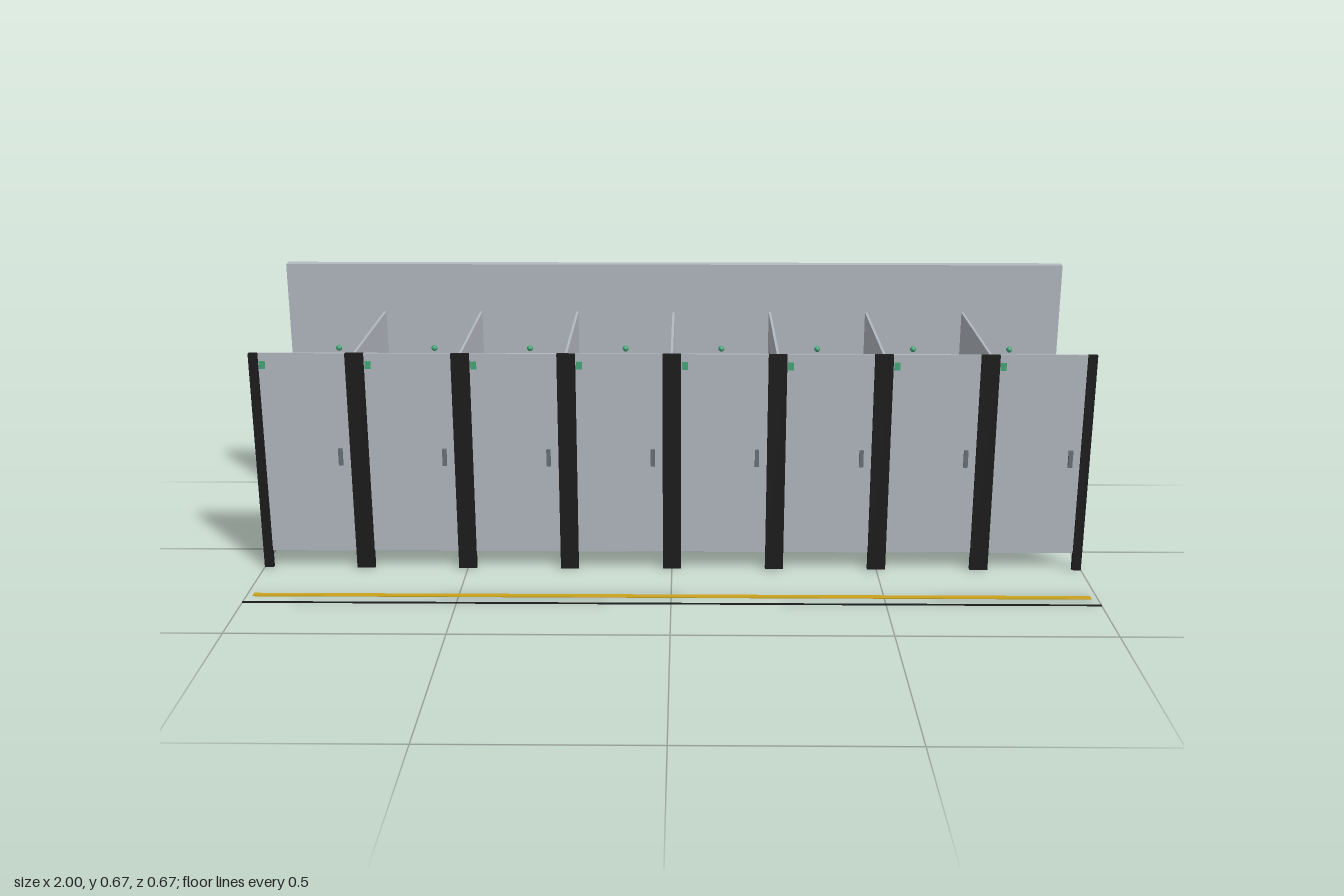
import * as THREE from 'three';

const mat = (name, color) => {
  const m = new THREE.MeshStandardMaterial({ color });
  m.name = name;
  return m;
};

// Rounded rectangle outline, with plan y pointing to the front (+z)
function roundedOutline(w, d, rFront, rBack) {
  const s = new THREE.Shape(), x = w / 2, y = d / 2;
  s.moveTo(-x + rFront, -y);
  s.lineTo(x - rFront, -y);
  s.absarc(x - rFront, -y + rFront, rFront, -Math.PI / 2, 0);
  s.lineTo(x, y - rBack);
  s.absarc(x - rBack, y - rBack, rBack, 0, Math.PI / 2);
  s.lineTo(-x + rBack, y);
  s.absarc(-x + rBack, y - rBack, rBack, Math.PI / 2, Math.PI);
  s.lineTo(-x, -y + rFront);
  s.absarc(-x + rFront, -y + rFront, rFront, Math.PI, Math.PI * 1.5);
  return s;
}

export function createModel() {
  const model = new THREE.Group();
  const grey = mat('light grey laminate', 0xb3b9c1);
  const ceramic = mat('ceramic', 0xb9bec5);
  const black = mat('black', 0x1c1c1d);
  const steel = mat('dark steel', 0x6c7076);
  const yellow = mat('yellow', 0xc9a21c);
  const green = mat('green', 0x45a878);

  const add = (parent, name, geometry, material, x = 0, y = 0, z = 0) => {
    const mesh = new THREE.Mesh(geometry, material);
    mesh.name = name;
    mesh.position.set(x, y, z);
    parent.add(mesh);
    return mesh;
  };
  // Box given by its lower and upper limits
  const box = (parent, name, material, x0, x1, y0, y1, z0, z1) =>
    add(parent, name, new THREE.BoxGeometry(x1 - x0, y1 - y0, z1 - z0), material,
      (x0 + x1) / 2, (y0 + y1) / 2, (z0 + z1) / 2);
  // Upright extrusion of a plan outline
  const upright = (shape, height, bevel = 0) => {
    const g = new THREE.ExtrudeGeometry(shape, {
      depth: height - 2 * bevel, curveSegments: 10, bevelEnabled: bevel > 0,
      bevelSize: bevel, bevelThickness: bevel, bevelOffset: -bevel, bevelSegments: 2,
    });
    g.rotateX(-Math.PI / 2);
    g.translate(0, bevel, 0);
    return g;
  };

  // Back wall and floor lines
  box(model, 'backWall', grey, -1, 1, 0, 0.668, -0.333, -0.306);
  box(model, 'yellowFloorLine', yellow, -0.985, 0.985, 0, 0.002, 0.279, 0.295);
  box(model, 'blackFloorLine', black, -1, 1, 0, 0.002, 0.327, 0.333);

  // Posts and partitions between the stalls
  for (let i = 0; i <= 8; i++) {
    const x = -1 + i * 0.25;
    box(model, 'post', black, Math.max(-1, x - 0.022), Math.min(1, x + 0.022), 0, 0.543, 0.107, 0.118);
    if (i > 0 && i < 8) box(model, 'partition', grey, x - 0.003, x + 0.003, 0.043, 0.543, -0.306, 0.107);
  }

  const bowlGeo = upright(roundedOutline(0.106, 0.157, 0.05, 0.04), 0.106);
  const lidGeo = upright(roundedOutline(0.092, 0.137, 0.044, 0.036), 0.014, 0.003);
  const panelGeo = new THREE.BoxGeometry(0.115, 0.153, 0.014);
  const sensorGeo = new THREE.SphereGeometry(0.008, 8, 6);

  for (let i = 0; i < 8; i++) {
    const stall = new THREE.Group();
    stall.name = 'stall';
    stall.position.x = -0.875 + i * 0.25;
    model.add(stall);
    const left = i === 0 ? -0.105 : -0.103, right = i === 7 ? 0.105 : 0.103;

    // Door with handle and indicator
    box(stall, 'door', grey, left, right, 0.043, 0.543, 0.107, 0.113);
    box(stall, 'doorHandle', steel, 0.074, 0.084, 0.265, 0.307, 0.113, 0.12);
    box(stall, 'doorIndicator', green, -0.101, -0.087, 0.505, 0.524, 0.113, 0.115);

    // Toilet
    add(stall, 'toiletBowl', bowlGeo, ceramic, 0, 0, -0.2135);
    add(stall, 'toiletLid', lidGeo, ceramic, 0, 0.106, -0.2065);

    // Flush panel with raised face and button, sensor above
    add(stall, 'flushPanel', panelGeo, steel, 0, 0.2035, -0.299);
    box(stall, 'flushButton', green, -0.014, 0.014, 0.251, 0.257, -0.292, -0.29);
    add(stall, 'wallSensor', sensorGeo, green, 0, 0.447, -0.297);
  }
  return model;
}
